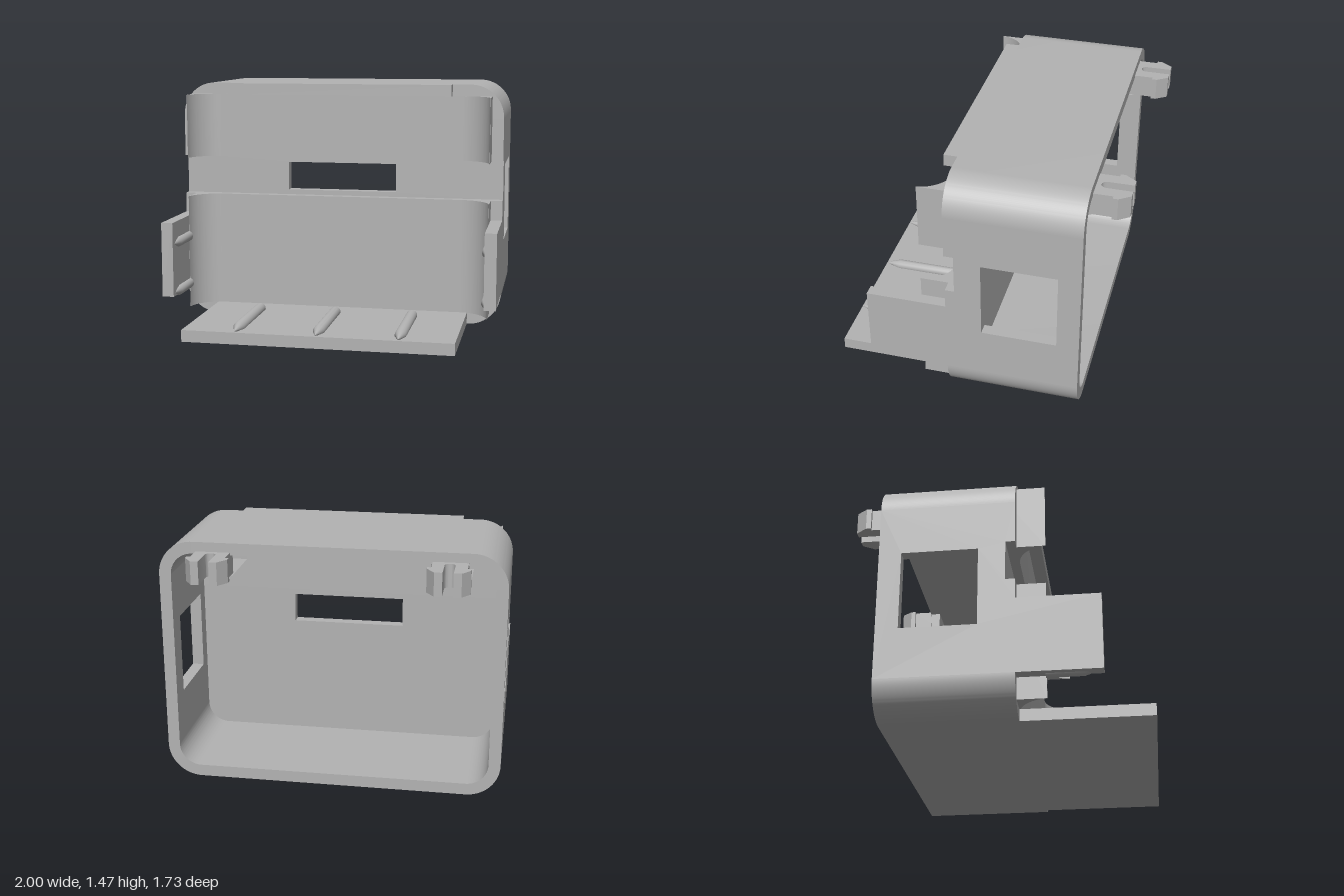
import * as THREE from 'three';
import { toCreasedNormals } from 'three/addons/utils/BufferGeometryUtils.js';

const OUT = 1, IN = 0.93, T = 0.07, H = 1.47, R = 0.2;
const BACK = -0.66, RIM = 0.12, GROOVE = 0.065, LIP = 0.285;
const GROOVE_LOW = 0.77, GROOVE_HIGH = 1.01;

const plastic = new THREE.MeshStandardMaterial({ color: 0xb3b3b3 });
plastic.name = 'grey plastic';

function polygon(points) {
  return new THREE.Shape(points.map(([x, y]) => new THREE.Vector2(x, y)));
}

function rectPath(x0, y0, x1, y1) {
  return new THREE.Path([[x0, y0], [x0, y1], [x1, y1], [x1, y0]].map(([x, y]) => new THREE.Vector2(x, y)));
}

function extrude(shape, depth) {
  return new THREE.ExtrudeGeometry(shape, { depth, bevelEnabled: false, curveSegments: 16 });
}

// Shape drawn in x and z, raised between two heights
function extrudeUp(shape, y0, y1) {
  return extrude(shape, y1 - y0).rotateX(Math.PI / 2).translate(0, y1, 0);
}

export function createModel() {
  const model = new THREE.Group();
  model.name = 'housing';

  function add(name, geometry, parent = model) {
    const mesh = new THREE.Mesh(toCreasedNormals(geometry, 0.5), plastic);
    mesh.name = name;
    parent.add(mesh);
    return mesh;
  }

  function addBox(name, x0, x1, y0, y1, z0, z1, parent) {
    const g = new THREE.BoxGeometry(x1 - x0, y1 - y0, z1 - z0);
    return add(name, g.translate((x0 + x1) / 2, (y0 + y1) / 2, (z0 + z1) / 2), parent);
  }

  // Roof and floor of the shell, with rounded corners
  const flat = OUT - R;
  function roofShape() {
    const s = new THREE.Shape();
    s.moveTo(OUT, H - R);
    s.absarc(flat, H - R, R, 0, Math.PI / 2, false);
    s.absarc(-flat, H - R, R, Math.PI / 2, Math.PI, false);
    s.lineTo(-IN, H - R);
    s.absarc(-flat, H - R, R - T, Math.PI, Math.PI / 2, true);
    s.absarc(flat, H - R, R - T, Math.PI / 2, 0, true);
    s.closePath();
    return s;
  }
  add('shellRoof', extrude(roofShape(), RIM - BACK).translate(0, 0, BACK));
  add('shellFloor', extrude(roofShape(), RIM - BACK).rotateZ(Math.PI).translate(0, H, BACK));

  // Side walls: window, groove notch and forward panel in one outline (z, y)
  const wall = polygon([
    [BACK, R], [0.595, R], [0.595, 0.65], [RIM, 0.65], [RIM, GROOVE_LOW],
    [GROOVE, GROOVE_LOW], [GROOVE, GROOVE_HIGH], [RIM, GROOVE_HIGH], [RIM, H - R], [BACK, H - R],
  ]);
  wall.holes.push(rectPath(-0.53, 0.5, -0.09, 0.975));
  for (const [name, x] of [['leftWall', OUT], ['rightWall', -IN]]) {
    add(name, extrude(wall, T).rotateY(-Math.PI / 2).translate(x, 0, 0));
  }

  // Front wall with concave corners, in two parts around the groove
  const cx = 0.745, cz = 0.305, r = 0.185, a = 0.108;
  const front = new THREE.Shape();
  front.moveTo(-IN, 0);
  front.lineTo(IN, 0);
  front.lineTo(IN, LIP);
  front.absarc(cx, cz, r, -a, -Math.PI / 2, true);
  front.absarc(-cx, cz, r, -Math.PI / 2, -Math.PI + a, true);
  front.lineTo(-IN, LIP);
  front.closePath();
  add('lowerFrontWall', extrudeUp(front, T, GROOVE_LOW));
  add('upperFrontWall', extrudeUp(front, GROOVE_HIGH, H - T));

  // Recessed band with its slot
  const band = polygon([[-IN, GROOVE_LOW], [IN, GROOVE_LOW], [IN, GROOVE_HIGH], [-IN, GROOVE_HIGH]]);
  band.holes.push(rectPath(-0.34, 0.8, 0.34, 0.975));
  add('grooveBand', extrude(band, GROOVE));

  addBox('roofLip', -0.69, 0.69, H - T, H, RIM, 0.2);
  addBox('tray', -0.795, 0.795, 0, T, RIM, 0.862);

  // Pointed ribs on the tray and on the side panels
  function addRib(name, x, y, tipStart, tipEnd) {
    const radius = 0.033, start = 0.28;
    const profile = [[0, start], [radius, start], [radius, tipStart], [0, tipEnd]];
    const g = new THREE.LatheGeometry(profile.map(([u, v]) => new THREE.Vector2(u, v)), 20);
    add(name, g.rotateX(Math.PI / 2).translate(x, y, 0));
  }
  for (const x of [-0.475, 0, 0.475]) addRib('trayRib', x, 0.078, 0.765, 0.862);
  for (const side of [-1, 1]) {
    for (const y of [0.22, 0.52]) addRib('sideRib', side * 0.94, y, 0.49, 0.59);
  }

  // Split snap clips on brackets under the roof
  const clip = new THREE.Shape();
  clip.moveTo(0.1, -0.6);
  for (const [x, z] of [[0.1, -0.77], [0.121, -0.77], [0.121, -0.8], [0.075, -0.865], [0.03, -0.865]]) clip.lineTo(x, z);
  clip.absarc(0, -0.717, 0.03, 0, Math.PI, false);
  for (const [x, z] of [[-0.03, -0.865], [-0.075, -0.865], [-0.121, -0.8], [-0.121, -0.77], [-0.1, -0.77], [-0.1, -0.6]]) clip.lineTo(x, z);
  clip.closePath();
  for (const side of [-1, 1]) {
    const group = new THREE.Group();
    group.name = side > 0 ? 'leftClip' : 'rightClip';
    group.position.x = side * 0.676;
    add('clipProngs', extrudeUp(clip, 1.28, 1.415), group);
    addBox('clipBracket', -0.11, 0.11, 1.28, 1.41, -0.31, BACK + 0.002, group).geometry.computeBoundingBox();
    model.add(group);
  }
  return model;
}
